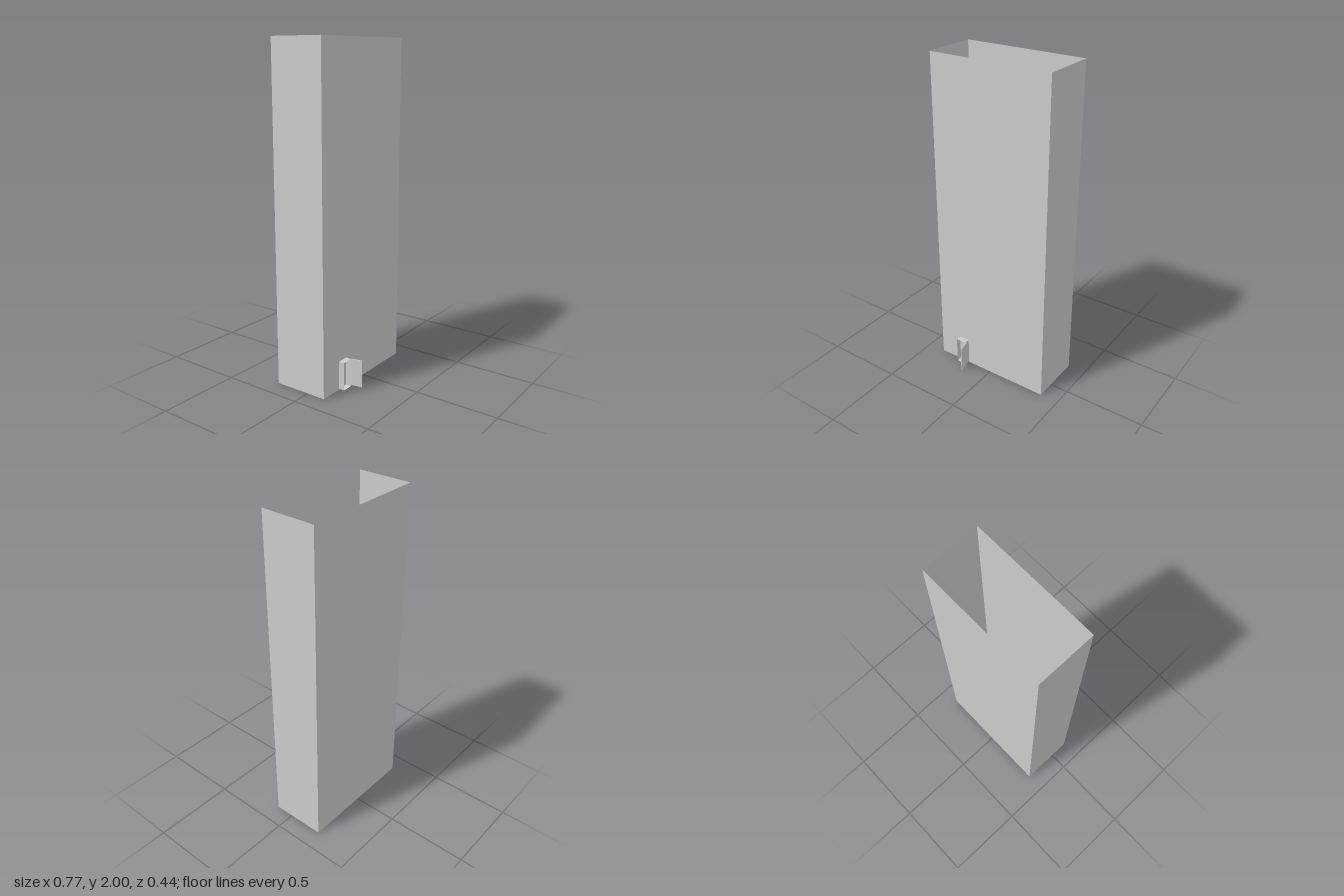
import * as THREE from 'three';

const material = new THREE.MeshStandardMaterial({ color: 0xcccccc, side: THREE.DoubleSide, flatShading: true });

// Box shell of thin sheets without one face (0 +x, 1 -x, 2 +y, 3 -y, 4 +z, 5 -z)
function openBox(name, min, max, openFace) {
  const size = max.map((v, i) => v - min[i]);
  const geometry = new THREE.BoxGeometry(...size);
  const index = Array.from(geometry.index.array);
  index.splice(openFace * 6, 6);
  geometry.setIndex(index);
  geometry.clearGroups();
  geometry.translate(...min.map((v, i) => v + size[i] / 2));
  const mesh = new THREE.Mesh(geometry, material);
  mesh.name = name;
  return mesh;
}

function box(name, size, position) {
  const mesh = new THREE.Mesh(new THREE.BoxGeometry(...size), material);
  mesh.position.set(...position);
  mesh.name = name;
  return mesh;
}

export function createModel() {
  const model = new THREE.Group();
  model.name = 'tallShellWithDoorway';

  // Tall shell, open at the top
  model.add(openBox('shell', [-0.384, 0, -0.222], [0.384, 2, 0.117], 2));

  // Shallow door frame, open at the front
  model.add(openBox('doorFrame', [-0.238, 0.004, 0.117], [-0.17, 0.175, 0.152], 4));

  // Door leaf standing ajar, hinged at the frame's left edge
  const door = new THREE.Group();
  door.name = 'door';
  door.position.set(-0.165, 0, 0.152);
  door.rotation.y = Math.atan2(0.013, 0.067);
  door.add(box('doorLeaf', [0.006, 0.165, 0.068], [0, 0.0925, 0.034]));

  // Handle on the inner side of the leaf
  door.add(box('handleStem', [0.005, 0.004, 0.004], [-0.005, 0.085, 0.058]));
  door.add(box('handleGrip', [0.003, 0.012, 0.005], [-0.0075, 0.085, 0.058]));
  model.add(door);

  return model;
}
